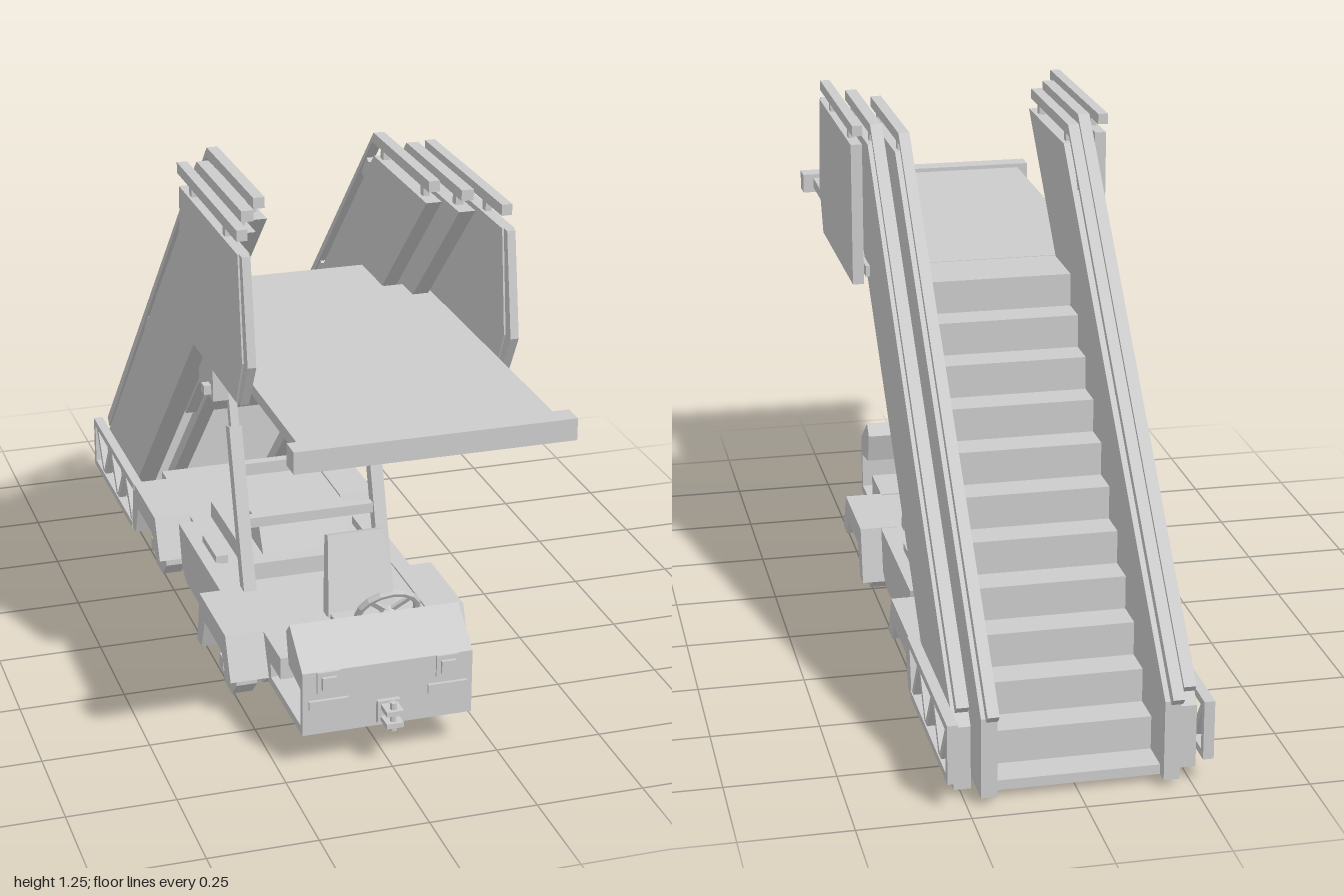
import * as THREE from 'three';

const grey = new THREE.MeshStandardMaterial({ color: 0xcccccc, flatShading: true });

export function createModel() {
  const root = new THREE.Group();

  const add = (name, geo) => {
    const m = new THREE.Mesh(geo, grey);
    m.name = name;
    root.add(m);
    return m;
  };
  // Box given by its limits
  const box = (name, x0, x1, y0, y1, z0, z1) =>
    add(name, new THREE.BoxGeometry(x1 - x0, y1 - y0, z1 - z0)
      .translate((x0 + x1) / 2, (y0 + y1) / 2, (z0 + z1) / 2));
  const boxPair = (name, x0, x1, ...rest) => {
    box(name + 'Left', x0, x1, ...rest);
    box(name + 'Right', -x1, -x0, ...rest);
  };
  // Side profile of [z, y] points, extruded from x0 to x1
  const plate = (name, pts, x0, x1) => {
    const shape = new THREE.Shape(pts.map(([z, y]) => new THREE.Vector2(z, y)));
    const geo = new THREE.ExtrudeGeometry(shape, { depth: x1 - x0, bevelEnabled: false });
    return add(name, geo.rotateY(-Math.PI / 2).translate(x1, 0, 0));
  };
  const platePair = (name, pts, x0, x1) => {
    plate(name + 'Left', pts, x0, x1);
    plate(name + 'Right', pts, -x1, -x0);
  };
  // Slanted bar in a side plane
  const bar = (name, [za, ya], [zb, yb], t, x0, x1) => {
    const l = Math.hypot(zb - za, yb - ya), nz = -(yb - ya) / l * t / 2, ny = (zb - za) / l * t / 2;
    platePair(name, [[za + nz, ya + ny], [zb + nz, yb + ny], [zb - nz, yb - ny], [za - nz, ya - ny]], x0, x1);
  };

  // Landing platform, bumper and underframe
  box('platform', -0.28, 0.28, 0.878, 0.904, 0.1, 0.96);
  box('platformBumper', -0.307, 0.307, 0.865, 0.914, 0.95, 1);
  boxPair('platformBeam', 0.12, 0.16, 0.853, 0.88, 0.25, 0.66);
  for (const z of [0.32, 0.55]) box('platformCrossBeam', -0.24, 0.24, 0.858, 0.88, z, z + 0.03);

  // Platform side panels with padded front edge and handrail
  platePair('sidePanel', [[0.11, 0.857], [0.58, 0.857], [0.63, 0.965], [0.6, 1.2], [0.11, 1.2]], 0.283, 0.31);
  platePair('panelEdge', [[0.58, 0.857], [0.6, 0.857], [0.66, 0.965], [0.62, 1.2], [0.6, 1.2], [0.63, 0.965]], 0.287, 0.306);
  boxPair('panelRail', 0.285, 0.309, 1.225, 1.25, 0.09, 0.59);
  for (const z of [0.18, 0.46]) boxPair('panelRailPost', 0.29, 0.304, 1.195, 1.23, z, z + 0.02);

  // Stair walls and handrails: inner upper section and outer lower section
  const k = 1.025;
  const sections = [
    { name: 'inner', x0: 0.184, x1: 0.22, low: 0.81, top: 1.18, rail: 1.25, front: 0.39, railEnd: -0.995, wallEnd: -0.95 },
    { name: 'outer', x0: 0.232, x1: 0.27, low: 0.73, top: 1.09, rail: 1.15, front: 0.47, railEnd: -0.91, wallEnd: -0.9 },
  ];
  for (const s of sections) {
    const bend = (1.25 - s.rail) / k, end = s.rail + k * s.railEnd;
    platePair(s.name + 'StairWall', [
      [1.2 - s.low, 1.2], [(1.2 - s.top) / k, 1.2], [s.wallEnd, s.top + k * s.wallEnd],
      [s.wallEnd, 0.02], [0.02 - s.low, 0.02],
    ], s.x0, s.x1);
    platePair(s.name + 'Handrail', [
      [s.front, 1.25], [bend, 1.25], [s.railEnd, end], [s.railEnd + 0.017, end - 0.018],
      [bend - 0.01, 1.225], [s.front, 1.225],
    ], s.x0 + 0.005, s.x1 - 0.005);
    for (const z of [-0.06, -0.43, -0.75]) {
      const y = s.rail + k * z - 0.02;
      bar(s.name + 'RailPost', [z, y], [z - 0.03, y - 0.05], 0.022, s.x0 + 0.01, s.x1 - 0.01);
    }
    for (const z of [bend + 0.04, s.front - 0.07])
      boxPair(s.name + 'TopPost', s.x0 + 0.01, s.x1 - 0.01, 1.195, 1.23, z, z + 0.02);
  }

  // Flight of eleven folded steps below the top landing, open underneath
  const count = 11, zTop = -0.06, run = 0.86 / count, rise = 0.86 / count, t = 0.012;
  const upper = [[0.1, 0.903], [zTop, 0.903]], lower = [[0.1, 0.88], [zTop + t, 0.88]];
  for (let i = 1; i <= count; i++) {
    const y = 0.903 - i * rise, z = zTop - (i - 1) * run;
    upper.push([z, y], [z - run, y]);
    lower.push([z + t, y - t], [z - run + t, y - t]);
  }
  upper.push([-0.92, 0.02]);
  lower.push([-0.92 + t, 0.02]);
  plate('steps', [...upper, ...lower.reverse()], -0.186, 0.186);

  // Flat lining under the upper flight, bearers and feet
  plate('stairLining', [[0.1, 0.88], [0.05, 0.88], [-0.375, 0.455], [-0.36, 0.44], [0.06, 0.86], [0.1, 0.86]], -0.184, 0.184);
  bar('stairBearer', [0.05, 0.85], [-0.74, 0.06], 0.03, 0.12, 0.155);
  box('stairBase', -0.184, 0.184, 0.02, 0.035, -0.92, -0.74);
  boxPair('stairFoot', 0.12, 0.16, 0.008, 0.022, -0.85, -0.68);

  // Lifting frame: brackets, pivot bar, telescopic legs and crossbars
  platePair('liftBracket', [[0.055, 0.84], [0.055, 0.64], [-0.075, 0.64], [-0.075, 0.73], [0.03, 0.84]], 0.184, 0.222);
  box('pivotBar', -0.24, 0.24, 0.653, 0.676, 0.015, 0.04);
  bar('legLower', [0.17, 0.19], [0.05, 0.57], 0.034, 0.155, 0.186);
  bar('legUpper', [0.06, 0.54], [0.015, 0.69], 0.022, 0.16, 0.18);
  box('legCrossbarUpper', -0.157, 0.157, 0.455, 0.485, 0.068, 0.092);
  box('legCrossbarLower', -0.157, 0.157, 0.335, 0.36, 0.107, 0.131);

  // Chassis, recessed side skirts and engine cover
  plate('chassis', [[0.43, 0.195], [0.43, 0.09], [0.39, 0.06], [-0.56, 0.06], [-0.56, 0.195]], -0.2, 0.2);
  platePair('sideSkirt', [[0.17, 0.198], [0.15, 0.09], [0.1, 0.065], [-0.16, 0.065], [-0.2, 0.09], [-0.23, 0.198]], 0.2, 0.24);
  boxPair('underPad', 0.08, 0.16, 0.045, 0.065, -0.18, -0.07);
  box('coverBase', -0.15, 0.15, 0.19, 0.238, -0.25, 0.13);
  plate('engineCover', [[0.09, 0.235], [0.05, 0.305], [-0.15, 0.305], [-0.19, 0.235]], -0.11, 0.11);
  boxPair('deckHandle', 0.18, 0.21, 0.195, 0.216, -0.11, 0.02);

  // Axles, octagonal wheels and angular mudguards
  for (const z of [0.29, -0.38]) {
    for (const s of [-1, 1]) {
      const tyre = new THREE.CylinderGeometry(0.077, 0.077, 0.05, 8).rotateY(Math.PI / 8).rotateZ(Math.PI / 2);
      add('wheel', tyre.translate(s * 0.23, 0.073, z));
      box('hub', s * 0.26 - 0.012, s * 0.26 + 0.012, 0.058, 0.09, z - 0.016, z + 0.016);
    }
    box('axle', -0.22, 0.22, 0.06, 0.09, z - 0.015, z + 0.015);
    platePair('mudguard', [
      [z + 0.11, 0.2], [z + 0.155, 0.1], [z + 0.105, 0.1], [z + 0.075, 0.145],
      [z - 0.075, 0.145], [z - 0.105, 0.065], [z - 0.145, 0.065], [z - 0.12, 0.2],
    ], 0.2, 0.292);
  }

  // Rear truss frames beside the foot of the stairs
  boxPair('trussTop', 0.27, 0.294, 0.182, 0.2, -0.955, -0.49);
  boxPair('trussBottom', 0.27, 0.294, 0.063, 0.081, -0.955, -0.52);
  boxPair('trussPost', 0.27, 0.294, 0.063, 0.2, -0.955, -0.937);
  for (let i = 0; i < 5; i++) {
    const y = (n) => (n % 2 ? 0.19 : 0.073);
    bar('trussBrace', [-0.53 - i * 0.081, y(i)], [-0.611 - i * 0.081, y(i + 1)], 0.016, 0.273, 0.291);
  }
  box('rearCrossbar', -0.27, 0.27, 0.022, 0.05, -0.78, -0.74);

  // Driver's cab: front shell with hood and floor
  plate('cabShell', [
    [0.71, 0.09], [0.71, 0.245], [0.61, 0.318], [0.585, 0.29], [0.605, 0.215],
    [0.695, 0.2], [0.695, 0.11], [0.4, 0.11], [0.4, 0.09],
  ], -0.2, 0.2);
  box('seatBase', -0.2, 0.2, 0.145, 0.198, 0.4, 0.54);
  box('seatSupport', -0.2, 0.2, 0.1, 0.15, 0.4, 0.46);
  box('seatCushion', -0.03, 0.13, 0.195, 0.208, 0.36, 0.5);
  // Seat back, narrower at the top
  const back = new THREE.BoxGeometry(0.17, 0.19, 0.045);
  const p = back.attributes.position;
  for (let i = 0; i < p.count; i++) {
    if (p.getY(i) > 0) p.setXYZ(i, p.getX(i) * 0.8, p.getY(i), p.getZ(i) * 0.6);
  }
  add('seatBack', back.rotateX(0.27).translate(0.05, 0.285, 0.335).applyMatrix4(new THREE.Matrix4()
    .makeTranslation(0, 0, 0.335).multiply(new THREE.Matrix4().makeScale(1, 1, 1)).setPosition(0, 0, 0))
    .translate(0, -0.285, -0.335).rotateX(-0.57).translate(0, 0.285, 0.33));

  // Steering wheel with spokes and column
  const wheel = new THREE.Group();
  wheel.name = 'steeringWheel';
  wheel.add(new THREE.Mesh(new THREE.TorusGeometry(0.071, 0.009, 6, 16), grey));
  for (let i = 0; i < 4; i++) {
    const spoke = new THREE.Mesh(new THREE.BoxGeometry(0.07, 0.012, 0.008).translate(0.035, 0, 0), grey);
    spoke.rotation.z = i * Math.PI / 2 + Math.PI / 4;
    wheel.add(spoke);
  }
  const column = new THREE.CylinderGeometry(0.014, 0.018, 0.07, 8).rotateX(Math.PI / 2).translate(0, 0, 0.03);
  wheel.add(new THREE.Mesh(column, grey));
  wheel.position.set(0.045, 0.295, 0.567);
  wheel.rotation.x = 0.49;
  root.add(wheel);
  plate('pedal', [[0.65, 0.215], [0.64, 0.215], [0.575, 0.13], [0.585, 0.13]], 0.02, 0.07);

  // Headlights, vents and tow hitch
  for (const s of [-1, 1]) {
    const x = s * 0.14;
    box('headlight', x - 0.027, x + 0.027, 0.193, 0.245, 0.7, 0.716);
    box('headlightLens', x - 0.017, x + 0.017, 0.203, 0.234, 0.7, 0.724);
    box('frontVent', x - 0.046, x + 0.046, 0.155, 0.176, 0.7, 0.718);
  }
  box('hitchPlate', -0.027, 0.027, 0.1, 0.155, 0.705, 0.722);
  for (const y of [0.107, 0.137]) box('hitchJaw', -0.02, 0.02, y, y + 0.012, 0.715, 0.765);
  add('hitchPin', new THREE.CylinderGeometry(0.008, 0.008, 0.07, 8).translate(0, 0.13, 0.75));

  return root;
}
